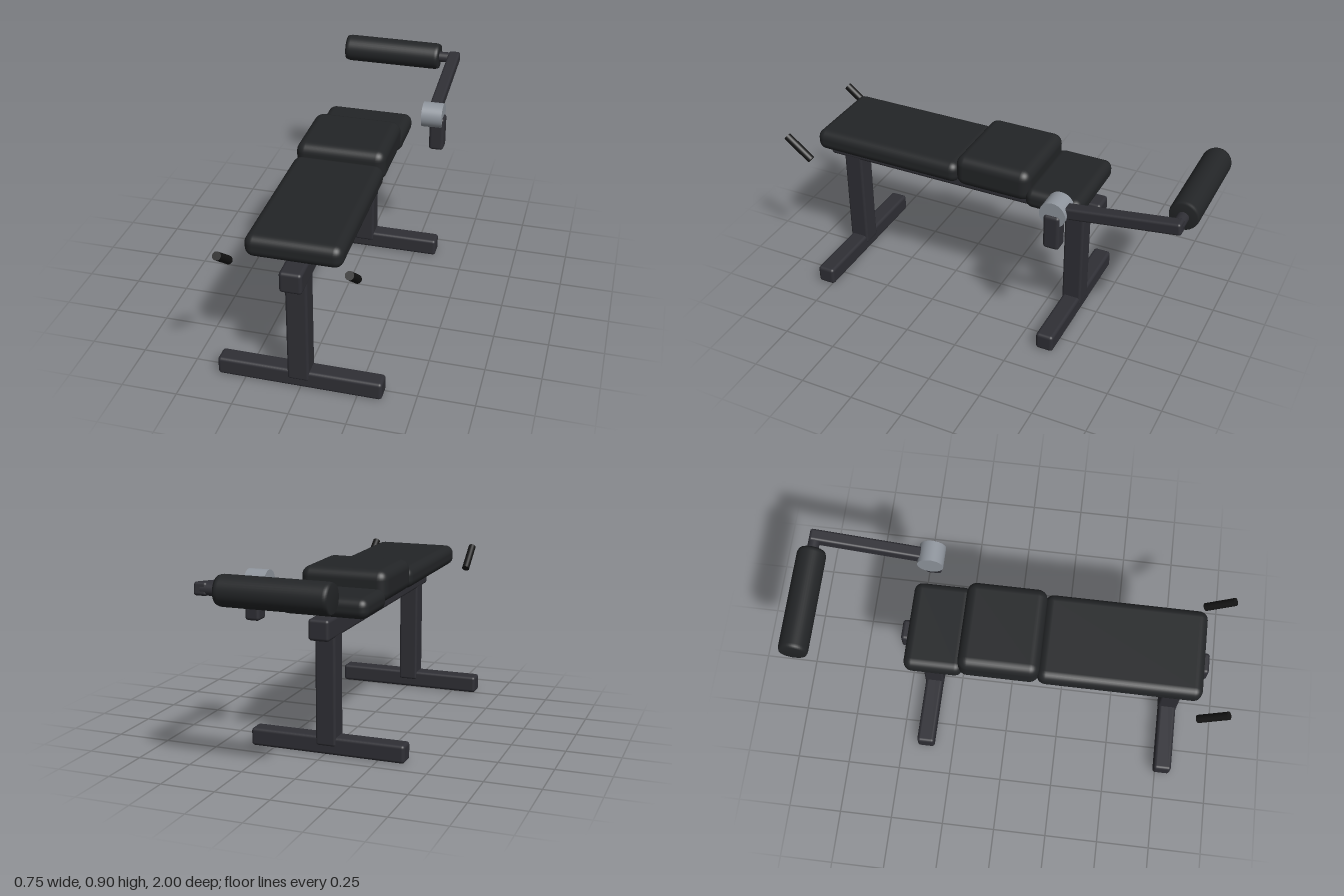
import * as THREE from 'three';
import { RoundedBoxGeometry } from 'three/addons/geometries/RoundedBoxGeometry.js';

const CX = -0.008; // centre line of the bench

export function createModel() {
  const model = new THREE.Group();
  model.name = 'trainingBench';

  const frameMat = new THREE.MeshStandardMaterial({ color: 0x2f2f35 });
  const padMat = new THREE.MeshStandardMaterial({ color: 0x232527 });
  const gripMat = new THREE.MeshStandardMaterial({ color: 0x141414 });
  const metalMat = new THREE.MeshStandardMaterial({ color: 0x8f959d });

  const add = (name, geometry, material, x, y, z) => {
    const mesh = new THREE.Mesh(geometry, material);
    mesh.name = name;
    mesh.position.set(x, y, z);
    model.add(mesh);
    return mesh;
  };
  // Rounded box given by centre x, width and its y and z ranges
  const box = (name, mat, x, w, [y0, y1], [z0, z1], r) =>
    add(name, new RoundedBoxGeometry(w, y1 - y0, z1 - z0, 4, r), mat,
      x, (y0 + y1) / 2, (z0 + z1) / 2);

  // Frame: spine beam on two T-shaped legs
  box('spineBeam', frameMat, CX, 0.098, [0.54, 0.637], [-0.505, 0.9], 0.015);
  for (const [end, z] of [['front', 0.78], ['rear', -0.383]]) {
    box(end + 'Post', frameMat, CX, 0.096, [0.043, 0.6], [z - 0.047, z + 0.047], 0.012);
    box(end + 'Foot', frameMat, CX, 0.734, [0.002, 0.086], [z - 0.042, z + 0.042], 0.015);
  }

  // Upholstery
  box('backPad', padMat, CX, 0.415, [0.66, 0.76], [0.132, 0.867], 0.04);
  box('seatPad', padMat, CX, 0.415, [0.66, 0.808], [-0.222, 0.142], 0.045);
  box('rearPad', padMat, CX, 0.415, [0.638, 0.73], [-0.467, -0.2], 0.038);

  // Slanted hand grips on both sides of the front end
  for (const [side, s] of [['left', 1], ['right', -1]]) {
    const grip = add(side + 'Grip', new THREE.CylinderGeometry(0.0185, 0.0185, 0.156, 24),
      gripMat, CX + s * 0.27, 0.687, 0.925);
    grip.rotation.x = THREE.MathUtils.degToRad(51.7);
  }

  // Pivot drum and its bracket
  const pivot = new THREE.Vector3(0.311, 0.76, -0.406);
  const drum = add('pivotDrum', new THREE.CylinderGeometry(0.06, 0.06, 0.098, 40),
    metalMat, ...pivot);
  drum.rotation.z = Math.PI / 2;
  box('pivotBracket', frameMat, 0.335, 0.071, [0.59, 0.758], [-0.443, -0.368], 0.015);

  // Swing arm rising from the pivot to the roller
  const tip = new THREE.Vector3(0.311, 0.836, -0.957);
  const mid = pivot.clone().add(tip).multiplyScalar(0.5);
  const arm = add('swingArm', new RoundedBoxGeometry(0.058, 0.056, pivot.distanceTo(tip), 4, 0.012),
    frameMat, ...mid);
  arm.rotation.x = Math.atan2(tip.y - pivot.y, pivot.z - tip.z);

  // Axle and padded roller
  const axle = add('rollerAxle', new THREE.CylinderGeometry(0.026, 0.026, 0.12, 24),
    frameMat, 0.25, 0.832, -0.933);
  axle.rotation.z = Math.PI / 2;
  const h = 0.244, r = 0.066;
  const profile = [[0, -h], [r - 0.006, -h], [r - 0.002, -h + 0.01], [r, -h + 0.022],
    [r, h - 0.022], [r - 0.002, h - 0.01], [r - 0.006, h], [0, h]]
    .map(([x, y]) => new THREE.Vector2(x, y));
  const roller = add('legRoller', new THREE.LatheGeometry(profile, 40), padMat, -0.007, 0.832, -0.933);
  roller.rotation.z = Math.PI / 2;

  return model;
}
